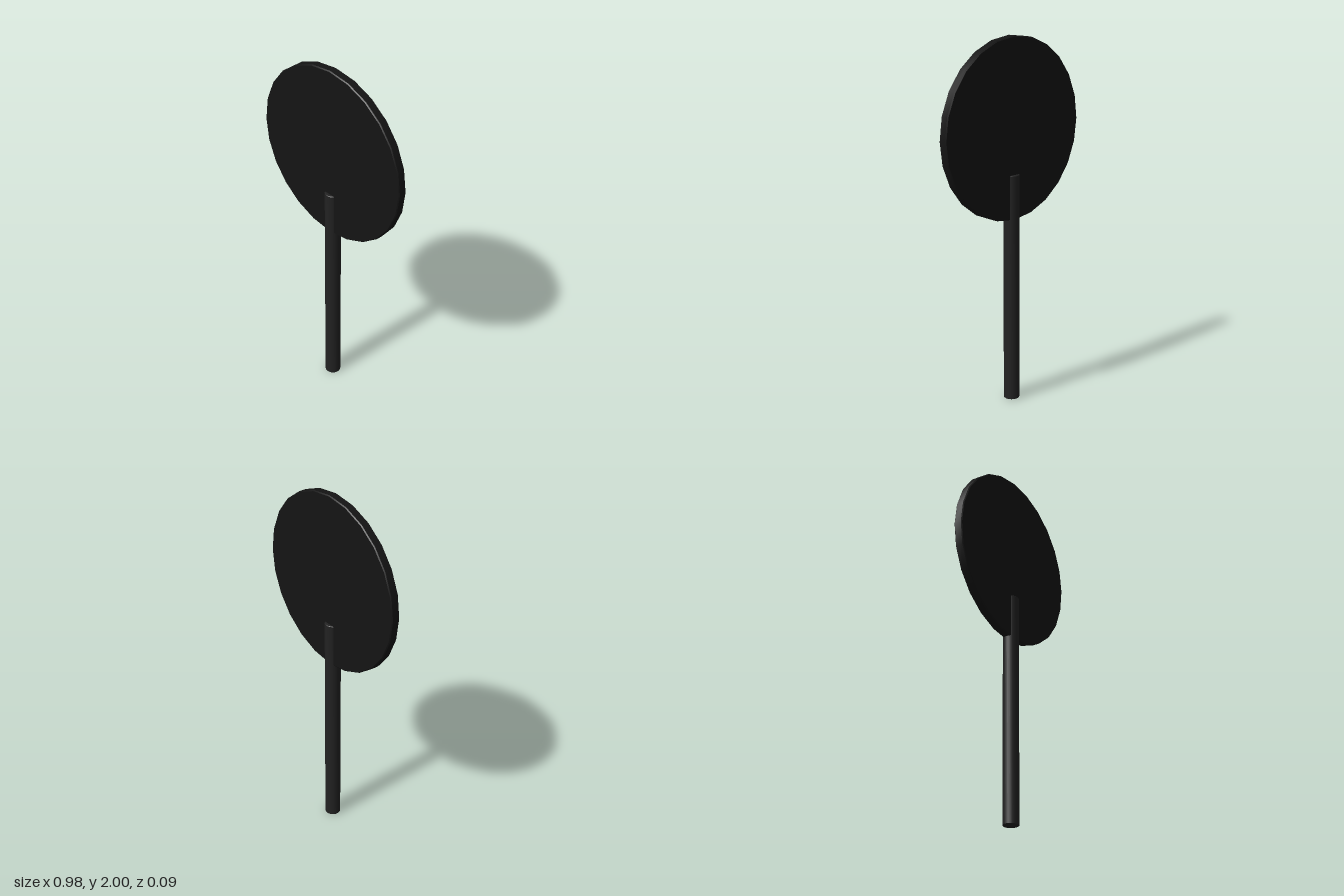
import * as THREE from 'three';
import { toCreasedNormals } from 'three/addons/utils/BufferGeometryUtils.js';

// Solid of revolution with a small bevel on both rims, centred on the origin
function bevelledDisc(radius, height, bevel, sides) {
  const h = height / 2;
  const profile = [
    [0, -h], [radius - bevel, -h], [radius, -h + bevel],
    [radius, h - bevel], [radius - bevel, h], [0, h],
  ].map(([x, y]) => new THREE.Vector2(x, y));
  return toCreasedNormals(new THREE.LatheGeometry(profile, sides), 0.5);
}

function part(name, geometry, color, y) {
  const mesh = new THREE.Mesh(geometry, new THREE.MeshStandardMaterial({ color }));
  mesh.name = name;
  mesh.position.y = y;
  return mesh;
}

export function createModel() {
  const model = new THREE.Group();
  model.name = 'paddle';

  // Round 24-sided plate, standing upright and facing the front
  const plate = part('plate', bevelledDisc(0.488, 0.049, 0.005, 24), 0x141414, 1.512);
  plate.rotation.x = Math.PI / 2;

  // Round handle that runs up through the lower part of the plate
  const handle = part('handle', bevelledDisc(0.043, 1.27, 0.003, 24), 0x222222, 0.635);

  model.add(plate, handle);
  return model;
}
